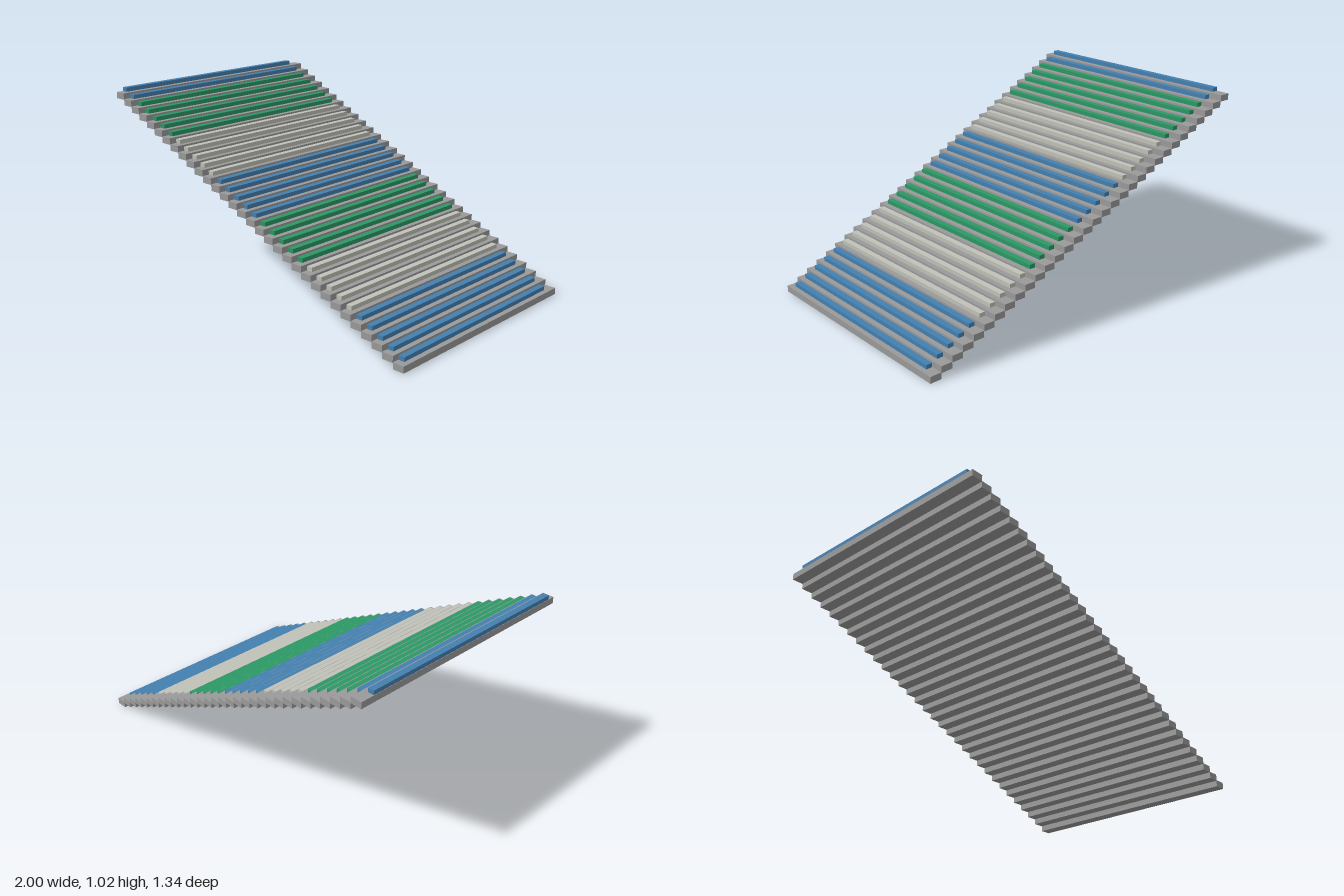
import * as THREE from 'three';

const ROWS = 32;
const PITCH = 2 / ROWS;      // tread depth
const RISE = 0.0312;         // height gained per row
const TREAD_H = 0.0345;
const SEAT_W = 0.033, SEAT_H = 0.022;

const material = (name, color) => {
  const m = new THREE.MeshStandardMaterial({ color });
  m.name = name;
  return m;
};

export function createModel() {
  const concrete = material('concrete grey', 0x9a9a9a);
  const blue = material('seat blue', 0x4480b0);
  const green = material('seat green', 0x2b9865);
  const pale = material('seat pale grey', 0xc0c1b7);
  const bands = [blue, pale, green]; // colour order from the lowest row upward, five rows each

  const model = new THREE.Group();
  model.name = 'grandstand';

  const addBox = (parent, name, mat, size, pos) => {
    const mesh = new THREE.Mesh(new THREE.BoxGeometry(...size), mat);
    mesh.position.set(...pos);
    mesh.name = name;
    parent.add(mesh);
  };

  // Rows climb from the low end (+x) to the high end (-x), growing slightly longer
  for (let i = 0; i < ROWS; i++) {
    const t = i / (ROWS - 1);
    const row = new THREE.Group();
    row.name = `row${i + 1}`;
    row.position.set(1 - PITCH * (i + 0.5), RISE * i, 0);

    // Step slab
    const treadLength = 2 * THREE.MathUtils.lerp(0.627, 0.672, t);
    addBox(row, 'step', concrete, [PITCH, TREAD_H, treadLength], [0, TREAD_H / 2, 0]);

    // Bench along the rear edge of the step, set slightly off centre
    const benchLength = 2 * THREE.MathUtils.lerp(0.576, 0.615, t);
    addBox(row, 'bench', bands[Math.floor(i / 5) % 3],
      [SEAT_W, SEAT_H, benchLength],
      [-PITCH / 2 + SEAT_W / 2 + 0.002, TREAD_H + SEAT_H / 2, THREE.MathUtils.lerp(0.014, 0.018, t)]);

    model.add(row);
  }
  return model;
}
